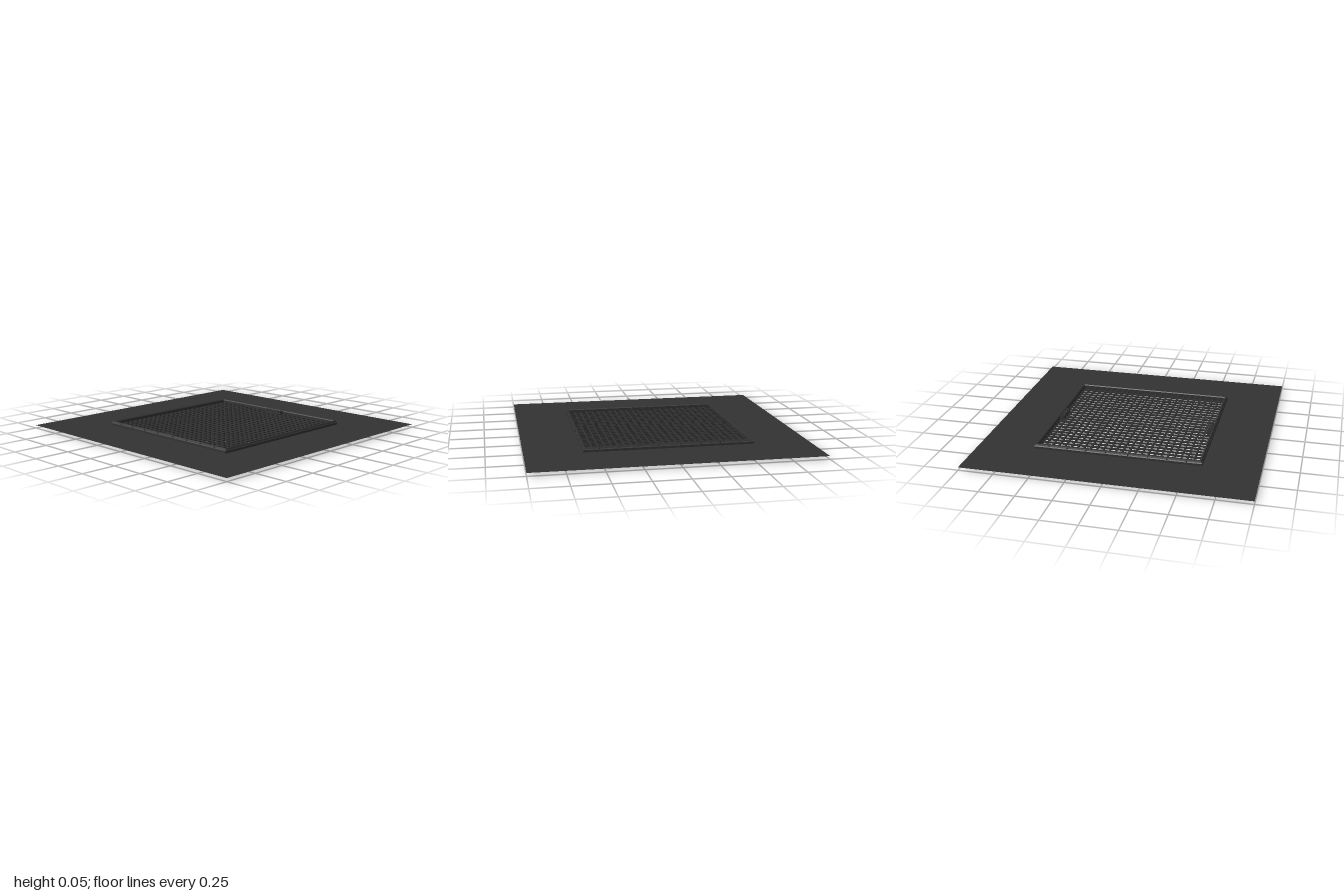
import * as THREE from 'three';

const material = new THREE.MeshStandardMaterial({ color: 0x333333, flatShading: true });
const sheetMaterial = new THREE.MeshStandardMaterial({ color: 0x333333, side: THREE.DoubleSide });

function box(parent, name, w, h, d, x, y, z) {
  const mesh = new THREE.Mesh(new THREE.BoxGeometry(w, h, d), material);
  mesh.name = name;
  mesh.position.set(x, y, z);
  parent.add(mesh);
  return mesh;
}

// Square ring: a closed [half width, height] profile swept around four mitred corners
function squareRing(name, profile) {
  const points = [...profile, profile[0]].map(([r, y]) => new THREE.Vector2(r * Math.SQRT2, y));
  const mesh = new THREE.Mesh(new THREE.LatheGeometry(points, 4).rotateY(Math.PI / 4), material);
  mesh.name = name;
  return mesh;
}

function square(shape, half) {
  return shape.moveTo(-half, -half).lineTo(half, -half).lineTo(half, half).lineTo(-half, half).closePath();
}

export function createModel() {
  const model = new THREE.Group();
  model.name = 'grilleInPanel';

  // Thin surrounding panel with a square opening
  const shape = square(new THREE.Shape(), 1);
  shape.holes.push(square(new THREE.Path(), 0.585));
  const panel = new THREE.Mesh(new THREE.ShapeGeometry(shape).rotateX(-Math.PI / 2), sheetMaterial);
  panel.name = 'panel';
  panel.position.y = 0.022;
  model.add(panel);

  // Frame: collar through the opening, flange on the panel, bevelled top lip
  model.add(squareRing('frame', [
    [0.577, 0], [0.586, 0], [0.586, 0.022], [0.6, 0.022], [0.6, 0.038],
    [0.594, 0.043], [0.59, 0.053], [0.583, 0.053], [0.577, 0.047],
  ]));

  // Square lattice of 25 x 25 openings
  const lattice = new THREE.Group();
  lattice.name = 'lattice';
  const cells = 25, span = 1.156, bar = 0.01;
  for (let i = 1; i < cells; i++) {
    const p = -span / 2 + (i * span) / cells;
    box(lattice, 'latticeBarLengthwise', bar, 0.012, span, p, 0.025, 0);
    box(lattice, 'latticeBarCrosswise', span, 0.012, bar, 0, 0.025, p);
  }
  model.add(lattice);

  // Per side: small ribs along the bevelled lip
  for (let side = 0; side < 4; side++) {
    const ribs = new THREE.Group();
    ribs.name = 'lipRibs';
    ribs.rotation.y = (side * Math.PI) / 2;
    for (const x of [0.08, 0.22, 0.355, 0.49])
      for (const s of [-1, 1]) box(ribs, 'lipRib', 0.008, 0.012, 0.008, s * x, 0.044, 0.594);
    model.add(ribs);
  }

  // Spring latches in the middle of the front and back edges
  for (const side of [0, 1]) {
    const latch = new THREE.Group();
    latch.name = side ? 'backLatch' : 'frontLatch';
    latch.rotation.y = side * Math.PI;
    box(latch, 'latchPlate', 0.09, 0.045, 0.022, 0, 0.028, 0.563);
    box(latch, 'latchBridge', 0.16, 0.04, 0.006, 0, 0.025, 0.55);
    for (const s of [-1, 1]) {
      box(latch, 'latchGuide', 0.012, 0.045, 0.03, s * 0.074, 0.028, 0.564);
      box(latch, 'latchFinger', 0.01, 0.053, 0.012, s * 0.055, 0.0265, 0.583);
    }
    model.add(latch);
  }
  return model;
}
